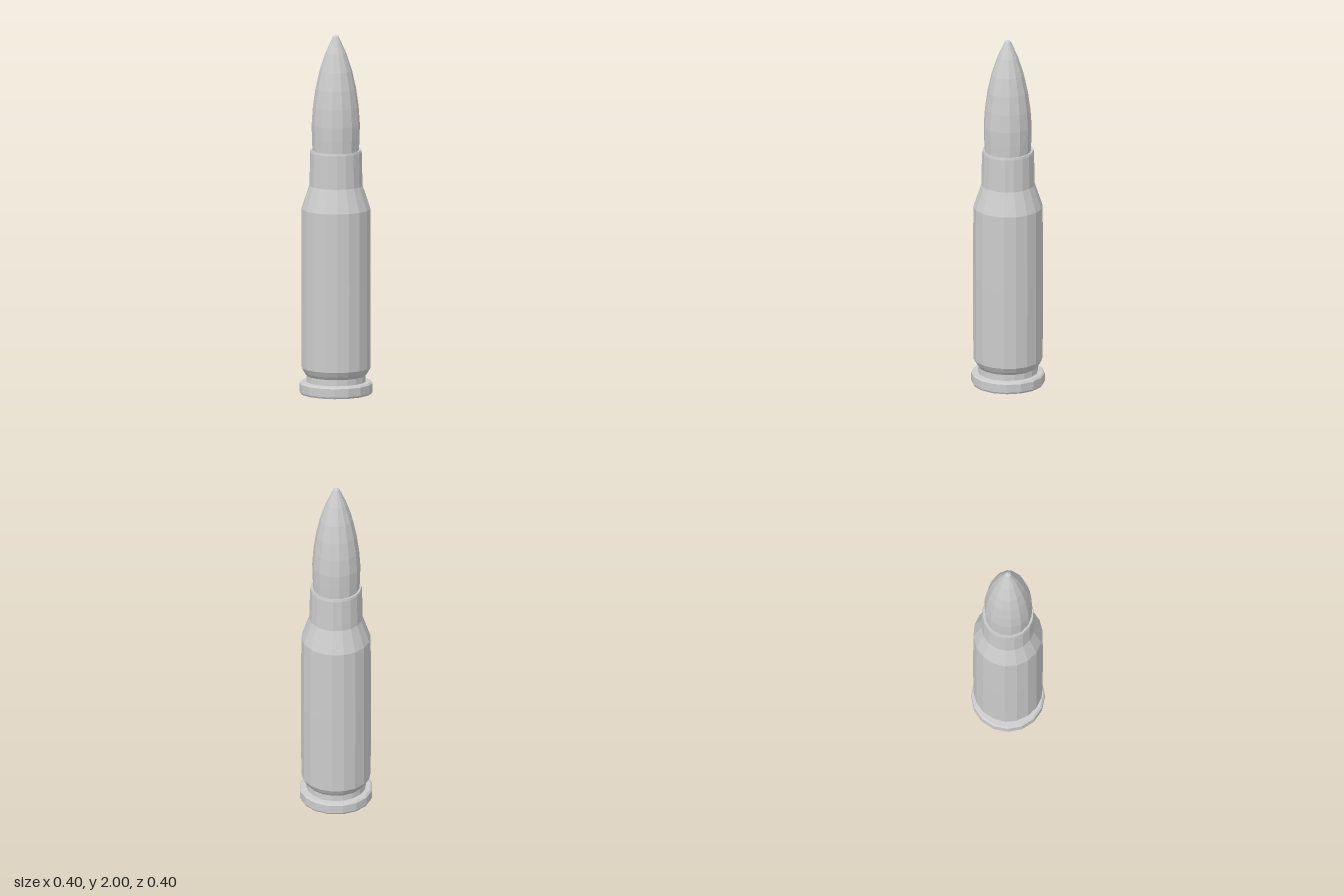
import * as THREE from 'three';

export function createModel() {
  const group = new THREE.Group();
  const material = new THREE.MeshStandardMaterial({ color: 0xcccccc, flatShading: true });

  // Faceted turned part from a [radius, height] profile, listed bottom to top
  function turned(name, profile, sides, offsetX = 0) {
    const points = profile.map(([r, y]) => new THREE.Vector2(r, y));
    const mesh = new THREE.Mesh(new THREE.LatheGeometry(points, sides), material);
    mesh.name = name;
    mesh.position.x = offsetX;
    group.add(mesh);
  }

  // Flat base disc with its rim
  turned('rim', [[0, 0], [0.197, 0], [0.202, 0.01], [0.202, 0.056], [0.193, 0.065], [0.16, 0.067]], 16);

  // Extractor groove flaring out to the case
  turned('extractorGroove', [[0.165, 0.064], [0.163, 0.1], [0.175, 0.116], [0.191, 0.145]], 18);

  // Straight body, sloped shoulder and neck with an open lip
  turned('case', [
    [0.191, 0.145], [0.192, 0.6], [0.191, 1.03],
    [0.147, 1.16], [0.143, 1.345], [0.14, 1.358], [0.125, 1.355],
  ], 18);

  // Pointed bullet with a small blunt tip
  turned('bullet', [
    [0.127, 1.33], [0.131, 1.42], [0.133, 1.5], [0.126, 1.6], [0.112, 1.7],
    [0.09, 1.8], [0.057, 1.9], [0.016, 1.99], [0, 2],
  ], 14, -0.002);

  return group;
}
